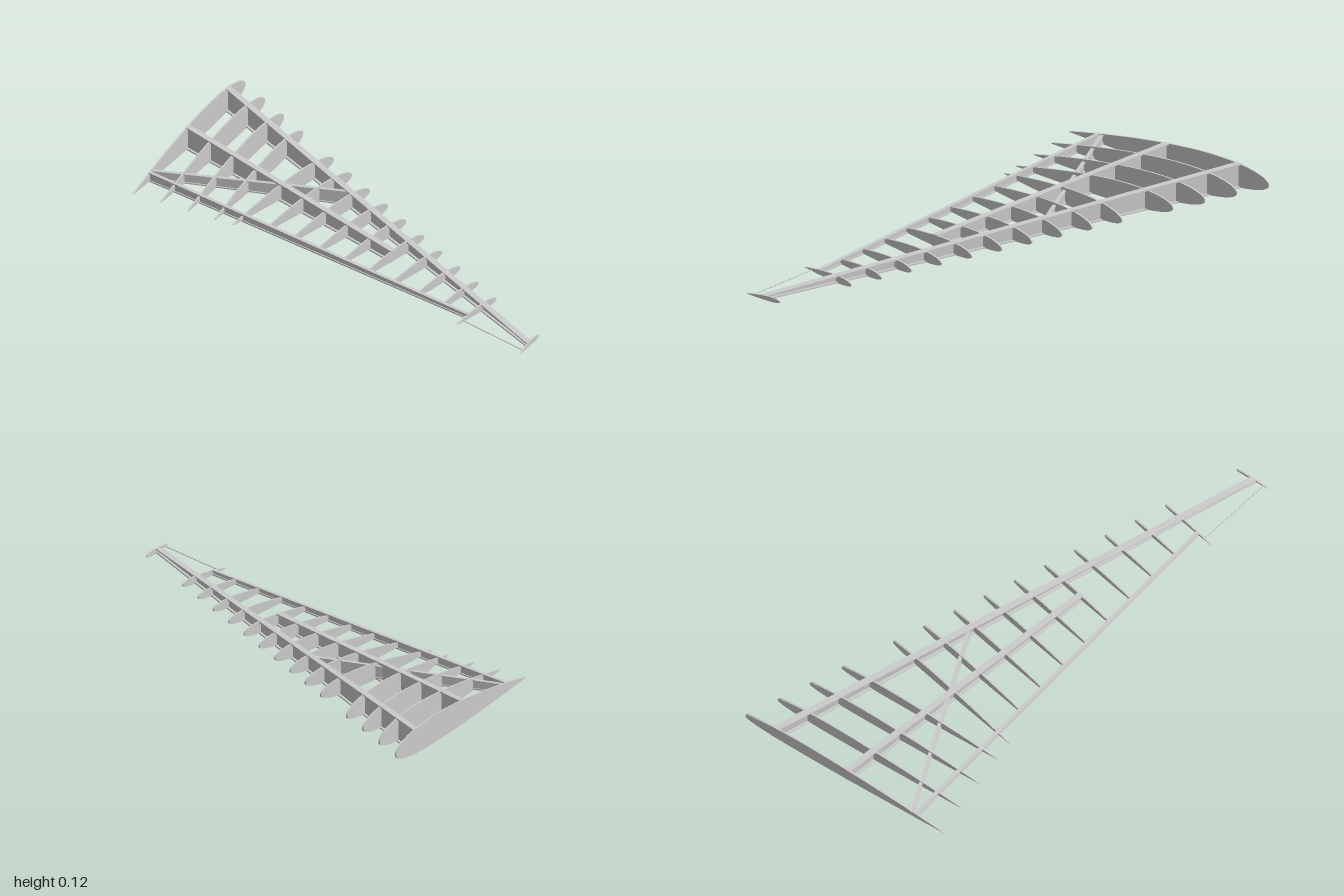
import * as THREE from 'three';

const material = new THREE.MeshStandardMaterial({ color: 0xcccccc, side: THREE.DoubleSide });
const MID = 0.046; // height of the chord plane
const lerp = THREE.MathUtils.lerp;

// Airfoil height above the chord at fraction u, for unit chord (side = 1 upper, -1 lower)
function foil(u, side) {
  u = THREE.MathUtils.clamp(u, 0, 1);
  const t = 0.62 * (0.2969 * Math.sqrt(u) - 0.126 * u - 0.3516 * u ** 2 + 0.2843 * u ** 3 - 0.1036 * u ** 4);
  const p = 0.4, m = 0.015;
  const camber = u < p ? m / p ** 2 * (2 * p * u - u * u) : m / (1 - p) ** 2 * (1 - 2 * p + 2 * p * u - u * u);
  return camber + side * (t + 0.001);
}

// Wing outline in plan
const leading = x => lerp(-0.655, 0.49, (x + 1) / 2);
const trailing = x => x < -0.52 ? lerp(0.315, 0.335, (x + 1) / 0.48) : lerp(0.335, 0.65, (x + 0.52) / 1.52);
function surface(x, z, side) {
  const c = trailing(x) - leading(x);
  return MID + c * foil((z - leading(x)) / c, side);
}

// Thin airfoil plate from leading edge to trailing edge, optionally cut off at fraction `cut`
function rib(name, [x0, z0], [x1, z1], cut = 1) {
  const chord = Math.hypot(x1 - x0, z1 - z0), n = 28, depth = 0.007;
  const points = [];
  const u = i => cut * (1 - Math.cos(Math.PI / 2 * i / n));
  for (let i = n; i >= 0; i--) points.push(new THREE.Vector2(u(i) * chord, foil(u(i), 1) * chord));
  for (let i = 0; i <= n; i++) points.push(new THREE.Vector2(u(i) * chord, foil(u(i), -1) * chord));
  const geometry = new THREE.ExtrudeGeometry(new THREE.Shape(points), { depth, bevelEnabled: false });
  geometry.translate(0, 0, -depth / 2);
  const mesh = new THREE.Mesh(geometry, material);
  mesh.name = name;
  mesh.position.set(x0, MID, z0);
  mesh.rotation.y = Math.atan2(-(z1 - z0), x1 - x0);
  return mesh;
}

// Tapered bar between plan points a and b; each end has its own bottom and top
function bar(name, a, b, width, endA, endB) {
  const geometry = new THREE.BoxGeometry(1, 1, 1).toNonIndexed();
  const p = geometry.attributes.position;
  for (let i = 0; i < p.count; i++) {
    const t = p.getX(i) + 0.5, v = p.getY(i) + 0.5, w = p.getZ(i);
    p.setXYZ(i, lerp(a[0], b[0], t),
      lerp(lerp(endA[0], endA[1], v), lerp(endB[0], endB[1], v), t),
      lerp(a[1], b[1], t) + w * width);
  }
  geometry.computeVertexNormals();
  const mesh = new THREE.Mesh(geometry, material);
  mesh.name = name;
  return mesh;
}

// I-beam made of a web and two flanges, following the airfoil height at both ends
function spar(name, a, b, width, inset = 0) {
  const group = new THREE.Group();
  group.name = name;
  const [A, B] = [a, b].map(([x, z]) => [surface(x, z, -1) + inset, surface(x, z, 1) - inset]);
  const f = 0.005;
  group.add(
    bar('web', a, b, 0.006, A, B),
    bar('topFlange', a, b, width, [A[1] - f, A[1] + 0.001], [B[1] - f, B[1] + 0.001]),
    bar('bottomFlange', a, b, width, [A[0] - 0.001, A[0] + f], [B[0] - 0.001, B[0] + f]));
  return group;
}

export function createModel() {
  const model = new THREE.Group();
  model.name = 'wingFrame';

  // Straight ribs of the inner wing
  [-0.996, -0.865, -0.735, -0.605].forEach((x, i) =>
    model.add(rib('innerRib' + (i + 1), [x, leading(x)], [x, trailing(x)])));

  // Slanted ribs; those between the first and last stop at the rear spar
  const rearA = [-1, 0.174], rearB = [0.675, 0.502];
  const rearZ = x => lerp(rearA[1], rearB[1], (x - rearA[0]) / (rearB[0] - rearA[0]));
  const count = 10;
  for (let i = 0; i < count; i++) {
    const t = i / (count - 1);
    const x0 = lerp(-0.397, 0.707, t);
    const z0 = leading(x0);
    const x1 = lerp(-0.52, 0.66, t), z1 = lerp(0.335, 0.578, t);
    let cut = 1;
    if (i > 0 && i < count - 1) {
      const slope = (rearB[1] - rearA[1]) / (rearB[0] - rearA[0]);
      cut = (rearZ(x0) - z0) / (z1 - z0 - slope * (x1 - x0));
    }
    model.add(rib('outerRib' + (i + 1), [x0, z0], [x1, z1], cut));
  }
  model.add(rib('tipRib', [0.996, 0.49], [0.996, 0.652]));

  // Spars
  model.add(
    spar('frontSpar', [-1, -0.507], [0.996, 0.572], 0.031),
    spar('middleSpar', [-1, -0.158], [0.18, 0.242], 0.028),
    spar('rearSpar', rearA, rearB, 0.016),
    spar('diagonalBrace', [-1, 0.158], [-0.19, -0.068], 0.016, 0.004));

  // Trailing edge wire out to the tip
  const wire = new THREE.LineCurve3(new THREE.Vector3(0.67, MID, 0.538), new THREE.Vector3(0.996, MID, 0.623));
  const wireMesh = new THREE.Mesh(new THREE.TubeGeometry(wire, 1, 0.002, 8), material);
  wireMesh.name = 'trailingEdgeWire';
  model.add(wireMesh);

  return model;
}
